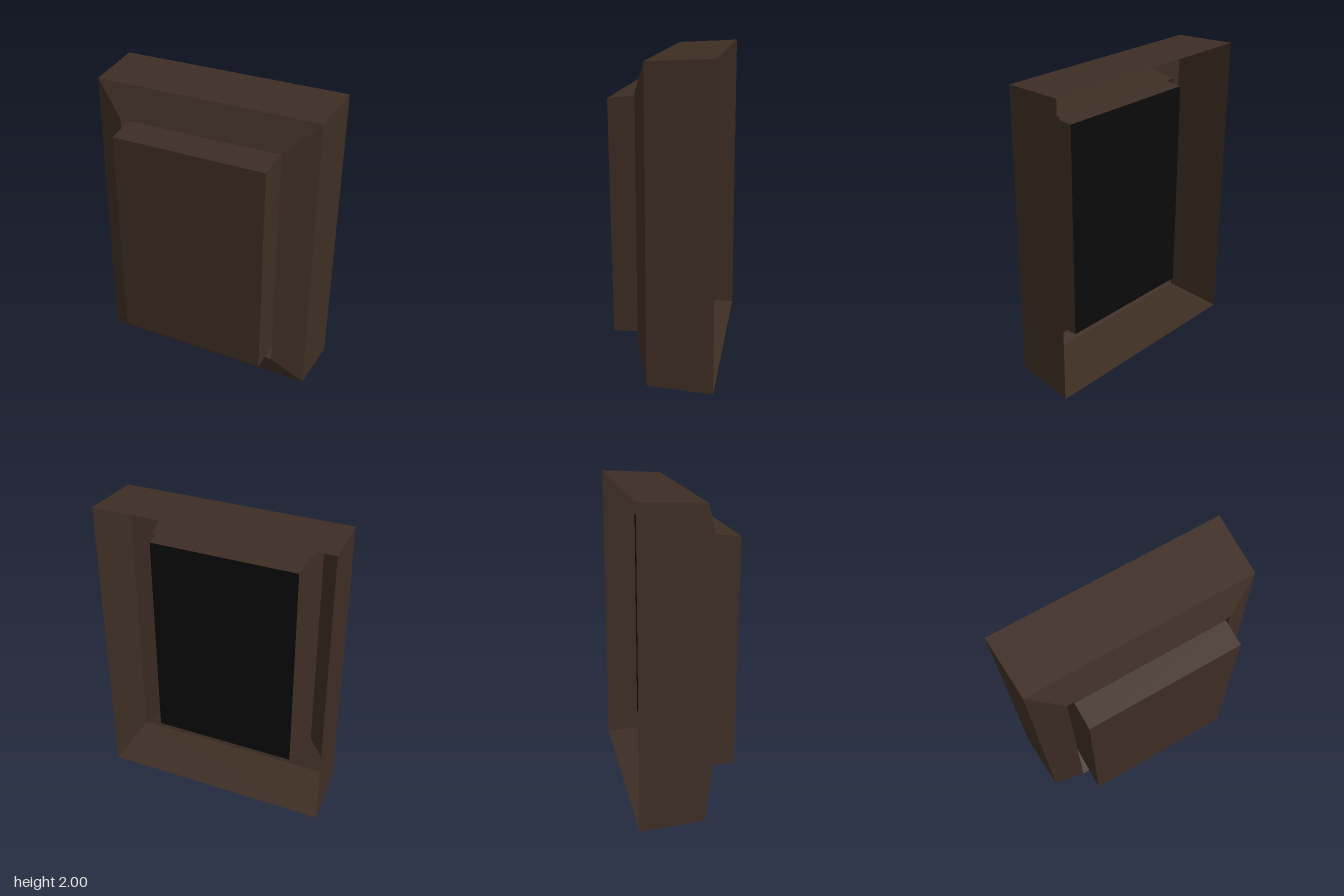
import * as THREE from 'three';

const brown = new THREE.MeshStandardMaterial({ color: 0x3e2e24, side: THREE.DoubleSide, flatShading: true });
brown.name = 'dark brown';
const black = new THREE.MeshStandardMaterial({ color: 0x0a0a0a, side: THREE.DoubleSide, flatShading: true });
black.name = 'black';

// Rectangular cross-section; zTop lets the section lean
const rect = (x0, x1, y0, y1, z, zTop = z) => [
  [x0, y0, z], [x1, y0, z], [x1, y1, zTop], [x0, y1, zTop],
];

// Geometry from flat four-cornered faces
function quads(list) {
  const points = list.flatMap(([a, b, c, d]) => [a, b, c, a, c, d]).flat();
  const geometry = new THREE.BufferGeometry();
  geometry.setAttribute('position', new THREE.Float32BufferAttribute(points, 3));
  geometry.computeVertexNormals();
  return geometry;
}

// Side faces joining each section to the next
function walls(sections) {
  const faces = [];
  for (let s = 0; s < sections.length - 1; s++) {
    const a = sections[s], b = sections[s + 1];
    for (let i = 0; i < 4; i++) {
      const j = (i + 1) % 4;
      faces.push([a[i], a[j], b[j], b[i]]);
    }
  }
  return faces;
}

export function createModel() {
  const group = new THREE.Group();
  const add = (name, faces, material) => {
    const mesh = new THREE.Mesh(quads(faces), material);
    mesh.name = name;
    group.add(mesh);
  };

  // Hollow frame, open at the back: outer walls, sloped front, inner lip
  const back = rect(-0.76, 0.76, 0, 2, -0.335);
  const shoulder = rect(-0.743, 0.743, 0.02, 1.98, 0.075);
  const opening = rect(-0.54, 0.54, 0.22, 1.78, 0.165);
  const lipEnd = rect(-0.497, 0.513, 0.265, 1.765, -0.08);
  add('frameWalls', walls([back, shoulder]), brown);
  add('frameFront', walls([shoulder, opening]), brown);
  add('frameLip', walls([opening, lipEnd]), brown);

  // Raised panel running through the opening, with a slightly leaning face
  const panelBack = rect(-0.49, 0.49, 0.27, 1.73, -0.15);
  const panelMiddle = rect(-0.495, 0.513, 0.272, 1.76, 0.165);
  const panelFront = rect(-0.495, 0.513, 0.27, 1.74, 0.32, 0.335);
  add('panel', [...walls([panelBack, panelMiddle, panelFront]), panelFront], brown);
  add('panelBack', [[...panelBack].reverse()], black);

  return group;
}
